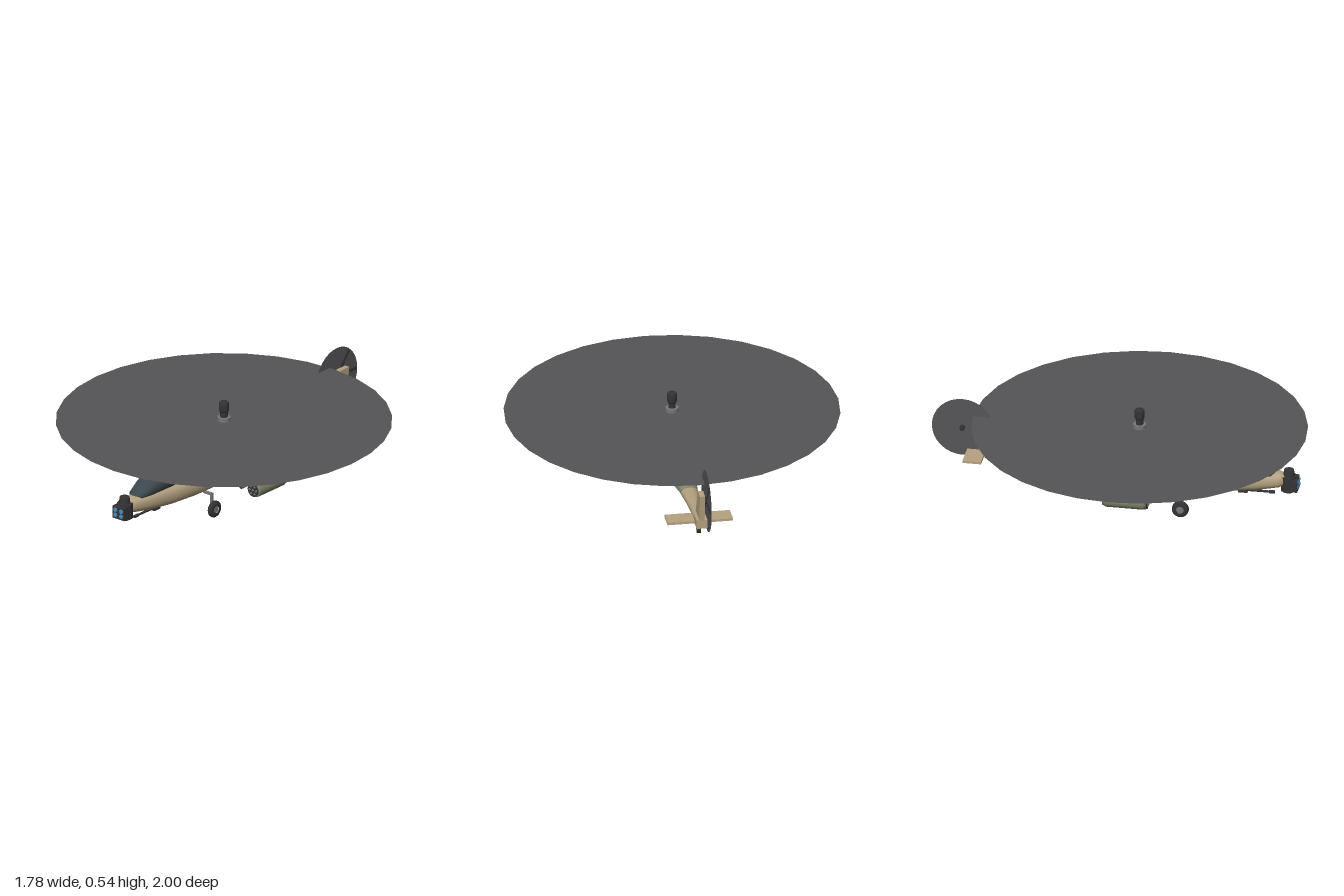
import * as THREE from 'three';

const mat = (color, side = THREE.FrontSide) => new THREE.MeshStandardMaterial({ color, side });
const tan = mat(0xb5a280), green = mat(0x7b8469), dark = mat(0x343437), grey = mat(0x77777a);
const glass = mat(0x3b474d), blue = mat(0x4a90c0), greenSkin = mat(0x7f886c, THREE.DoubleSide);
const discMat = mat(0x555558, THREE.DoubleSide), bladeMat = mat(0x3a3a3d, THREE.DoubleSide);

// Superellipse sections [z, bottom, top, halfWidth], ordered nose to tail
function loft(sections, power = 2, n = 28, from = 0, to = Math.PI * 2) {
  const closed = to - from > 6.28, cols = closed ? n : n + 1;
  const pos = [], idx = [];
  const bend = (v) => Math.sign(v) * Math.abs(v) ** (2 / power);
  for (const [z, y0, y1, w] of sections) {
    for (let j = 0; j < cols; j++) {
      const t = from + (to - from) * j / n;
      pos.push(w * bend(Math.cos(t)), (y0 + y1) / 2 + (y1 - y0) / 2 * bend(Math.sin(t)), z);
    }
  }
  for (let i = 0; i < sections.length - 1; i++) {
    for (let j = 0; j < n; j++) {
      const a = i * cols + j, b = i * cols + (j + 1) % cols;
      idx.push(a, a + cols, b, b, a + cols, b + cols);
    }
  }
  const g = new THREE.BufferGeometry();
  g.setAttribute('position', new THREE.Float32BufferAttribute(pos, 3));
  g.setIndex(idx);
  g.computeVertexNormals();
  return g;
}

function add(parent, name, geometry, material, x = 0, y = 0, z = 0) {
  const m = new THREE.Mesh(geometry, material);
  m.name = name;
  m.position.set(x, y, z);
  parent.add(m);
  return m;
}
const box = (w, h, d) => new THREE.BoxGeometry(w, h, d);
const cyl = (r0, r1, h, n = 20) => new THREE.CylinderGeometry(r0, r1, h, n);
const zCyl = (rFront, rBack, len, n = 20) => cyl(rFront, rBack, len, n).rotateX(Math.PI / 2);
const xCyl = (r, len, n = 24) => cyl(r, r, len, n).rotateZ(Math.PI / 2);
// Body of revolution lying along z, points [radius, z] from back to front
const zLathe = (pts, n = 24) => new THREE.LatheGeometry(pts.map(p => new THREE.Vector2(...p)), n).rotateX(Math.PI / 2);

function createFuselage(g) {
  add(g, 'fuselage', loft([
    [0.9, 0.195, 0.2, 0.002], [0.895, 0.17, 0.23, 0.03], [0.86, 0.155, 0.24, 0.048], [0.75, 0.135, 0.247, 0.068],
    [0.6, 0.12, 0.25, 0.09], [0.42, 0.112, 0.25, 0.104], [0.2, 0.11, 0.255, 0.107], [0, 0.113, 0.258, 0.1],
    [-0.12, 0.13, 0.258, 0.085], [-0.25, 0.165, 0.258, 0.066], [-0.4, 0.195, 0.256, 0.048],
    [-0.55, 0.207, 0.26, 0.037], [-0.7, 0.215, 0.267, 0.031], [-0.86, 0.222, 0.275, 0.028], [-0.865, 0.245, 0.25, 0.002],
  ], 2.4), tan);
  add(g, 'engineDeck', loft([
    [0.35, 0.2, 0.22, 0.01], [0.32, 0.18, 0.29, 0.07], [0.22, 0.17, 0.32, 0.086], [0.1, 0.17, 0.33, 0.088],
    [-0.05, 0.17, 0.315, 0.08], [-0.2, 0.18, 0.285, 0.064], [-0.35, 0.19, 0.26, 0.048], [-0.48, 0.21, 0.25, 0.03],
  ], 2.2), tan);
  // camouflage saddle over the tail boom
  add(g, 'camouflagePatch', loft([
    [-0.24, 0.17, 0.281, 0.068], [-0.35, 0.187, 0.264, 0.055], [-0.46, 0.2, 0.261, 0.046],
  ], 2.3, 14, -0.1, Math.PI + 0.1), greenSkin);
  add(g, 'canopy', loft([
    [0.85, 0.23, 0.236, 0.008], [0.82, 0.215, 0.26, 0.045], [0.75, 0.21, 0.3, 0.062], [0.66, 0.21, 0.342, 0.074],
    [0.6, 0.21, 0.353, 0.08], [0.55, 0.21, 0.375, 0.082], [0.49, 0.21, 0.4, 0.083], [0.42, 0.21, 0.4, 0.083],
    [0.37, 0.21, 0.378, 0.082], [0.32, 0.21, 0.33, 0.077], [0.295, 0.22, 0.28, 0.06], [0.29, 0.24, 0.25, 0.01],
  ], 2.3), glass);
}

function createNose(g) {
  const nose = new THREE.Group();
  nose.name = 'sensorTurret';
  g.add(nose);
  add(nose, 'turretDrum', cyl(0.042, 0.042, 0.085), dark, 0, 0.18, 0.91);
  add(nose, 'turretFace', box(0.08, 0.07, 0.05), dark, 0, 0.178, 0.937);
  add(nose, 'turretTop', cyl(0.026, 0.032, 0.04), dark, 0, 0.238, 0.912);
  add(nose, 'turretBase', cyl(0.032, 0.024, 0.02), dark, 0, 0.137, 0.91);
  for (const x of [-0.02, 0.02]) for (const y of [0.165, 0.193])
    add(nose, 'lens', zCyl(0.012, 0.012, 0.008, 14), blue, x, y, 0.963);
  add(g, 'gunMount', cyl(0.024, 0.02, 0.03), dark, 0, 0.122, 0.66);
  add(g, 'gunBody', box(0.03, 0.026, 0.05), dark, 0, 0.118, 0.665);
  add(g, 'gunBarrel', zCyl(0.006, 0.007, 0.16, 10), dark, 0, 0.117, 0.755);
  add(g, 'gunMuzzle', zCyl(0.009, 0.009, 0.03, 10), dark, 0, 0.117, 0.82);
}

// Engine, wing, stores and main wheel of one side (s = 1 or -1)
function createSide(g, s) {
  const side = new THREE.Group();
  side.name = s > 0 ? 'leftSide' : 'rightSide';
  g.add(side);
  add(side, 'engineNacelle', zLathe([[0, -0.13], [0.026, -0.13], [0.036, -0.06], [0.043, 0.05], [0.045, 0.2],
    [0.041, 0.29], [0.034, 0.34], [0.026, 0.345], [0.024, 0.325], [0, 0.325]]), tan, s * 0.12, 0.263, 0);
  add(side, 'intakeHub', new THREE.SphereGeometry(0.019, 16, 10), dark, s * 0.12, 0.263, 0.325);
  add(side, 'exhaust', zCyl(0.024, 0.022, 0.025), dark, s * 0.12, 0.263, -0.14);
  add(side, 'canopySill', box(0.01, 0.02, 0.15), tan, s * 0.077, 0.302, 0.49).rotation.set(0.09, 0, s * 0.2);

  add(side, 'stubWing', box(0.26, 0.025, 0.18), tan, s * 0.19, 0.203, 0.1);
  for (const z of [0.02, 0.17]) add(side, 'podPylon', box(0.014, 0.035, 0.03), tan, s * 0.285, 0.185, z);
  add(side, 'rocketPod', zLathe([[0, -0.035], [0.034, -0.035], [0.043, -0.015], [0.043, 0.185],
    [0.038, 0.203], [0, 0.203]]), green, s * 0.285, 0.143, 0);
  add(side, 'podFace', zCyl(0.037, 0.037, 0.004), dark, s * 0.285, 0.143, 0.204);
  for (let i = 0; i < 7; i++) {
    const r = i ? 0.023 : 0, a = i * Math.PI / 3;
    add(side, 'rocketTip', zCyl(0.004, 0.007, 0.008, 10), grey, s * 0.285 + r * Math.cos(a), 0.143 + r * Math.sin(a), 0.208);
  }

  // missile rack
  add(side, 'missilePylon', box(0.014, 0.07, 0.1), tan, s * 0.155, 0.165, 0.1);
  add(side, 'missileRack', box(0.04, 0.01, 0.13), dark, s * 0.155, 0.135, 0.09);
  for (const dx of [-0.02, 0.02]) for (const dy of [-0.016, 0.016]) {
    add(side, 'missile', zLathe([[0, -0.09], [0.01, -0.09], [0.01, 0.075], [0.007, 0.088], [0, 0.092]], 12),
      green, s * 0.155 + dx, 0.135 + dy, 0.09);
    add(side, 'missileTip', new THREE.SphereGeometry(0.009, 10, 8), dark, s * 0.155 + dx, 0.135 + dy, 0.173);
  }

  // main landing gear
  add(side, 'gearArm', box(0.06, 0.012, 0.016), grey, s * 0.106, 0.128, 0.36);
  add(side, 'gearLeg', box(0.012, 0.092, 0.014), grey, s * 0.13, 0.088, 0.358);
  add(side, 'mainTyre', zLathe([[0.02, -0.014], [0.038, -0.014], [0.045, -0.007], [0.045, 0.007], [0.038, 0.014],
    [0.02, 0.014]]).rotateY(Math.PI / 2), dark, s * 0.145, 0.045, 0.355);
  add(side, 'mainHub', xCyl(0.021, 0.024, 16), grey, s * 0.145, 0.045, 0.355);
}

function createTail(g) {
  const fin = new THREE.Shape();
  [[-0.735, 0.25], [-0.865, 0.25], [-0.885, 0.418], [-0.815, 0.418]].forEach(([z, y], i) =>
    i ? fin.lineTo(-z, y) : fin.moveTo(-z, y));
  const finGeo = new THREE.ExtrudeGeometry(fin, { depth: 0.028, bevelEnabled: false });
  add(g, 'tailFin', finGeo.rotateY(Math.PI / 2), tan, -0.014, 0, 0);
  add(g, 'tailBlock', box(0.058, 0.05, 0.07), tan, 0, 0.246, -0.832);
  add(g, 'stabilizer', box(0.35, 0.013, 0.1), tan, 0, 0.233, -0.76);

  add(g, 'tailWheelLeg', cyl(0.007, 0.006, 0.06, 10), grey, 0, 0.195, -0.755);
  add(g, 'tailWheel', xCyl(0.019, 0.02), dark, 0, 0.162, -0.757);

  // tail rotor on the right of the fin
  const rotor = new THREE.Group();
  rotor.name = 'tailRotor';
  rotor.position.set(-0.03, 0.365, -0.835);
  g.add(rotor);
  add(rotor, 'tailRotorDisc', new THREE.CircleGeometry(0.165, 32).rotateY(Math.PI / 2), discMat);
  add(rotor, 'tailRotorHub', xCyl(0.014, 0.04, 16), dark, -0.002);
  for (const angle of [0, 0.9])
    add(rotor, 'tailRotorBlade', new THREE.PlaneGeometry(0.32, 0.02).rotateY(Math.PI / 2), bladeMat, 0.002).rotation.x = angle;
}

function createMainRotor(g) {
  const rotor = new THREE.Group();
  rotor.name = 'mainRotor';
  rotor.position.z = 0.11;
  g.add(rotor);
  add(rotor, 'mast', cyl(0.014, 0.016, 0.1), grey, 0, 0.36);
  add(rotor, 'rotorHub', cyl(0.035, 0.035, 0.05), grey, 0, 0.43);
  add(rotor, 'mastNeck', cyl(0.02, 0.02, 0.04), dark, 0, 0.472);
  add(rotor, 'mastSensor', new THREE.LatheGeometry([[0, 0.485], [0.022, 0.485], [0.027, 0.495], [0.027, 0.534],
    [0.022, 0.541], [0, 0.541]].map(p => new THREE.Vector2(...p)), 20), dark);
  add(rotor, 'rotorDisc', new THREE.CircleGeometry(0.89, 32).rotateX(-Math.PI / 2), discMat, 0, 0.434);
  for (const angle of [0, Math.PI / 2])
    add(rotor, 'rotorBlade', new THREE.PlaneGeometry(1.76, 0.05).rotateX(-Math.PI / 2), bladeMat, 0, 0.43).rotation.y = angle;
}

export function createModel() {
  const g = new THREE.Group();
  g.name = 'helicopter';
  createFuselage(g);
  createNose(g);
  for (const s of [1, -1]) createSide(g, s);
  createTail(g);
  createMainRotor(g);
  return g;
}
